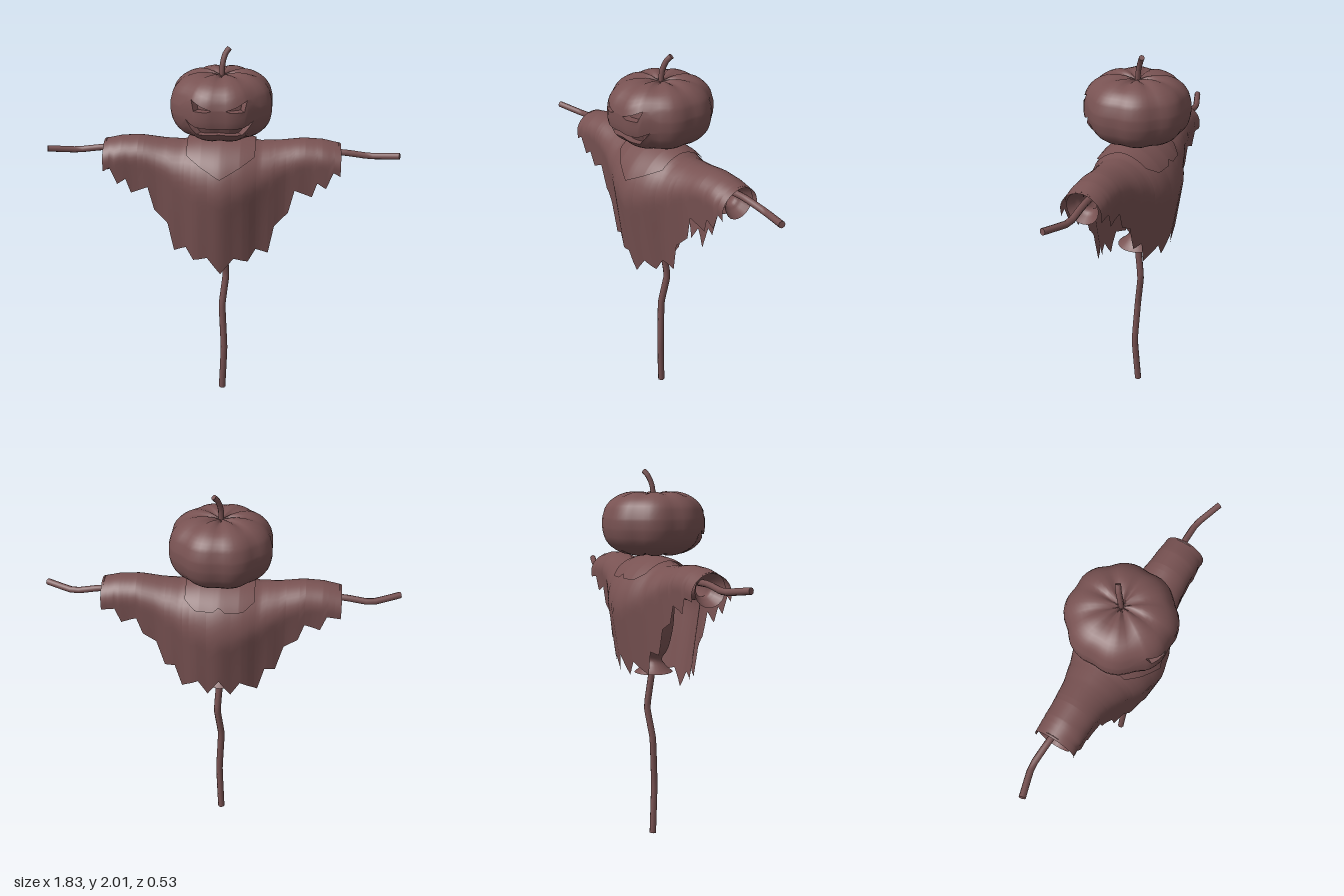
import * as THREE from 'three';

const material = new THREE.MeshStandardMaterial({ color: 0x785252, side: THREE.DoubleSide });
const gauss = (x, w) => Math.exp(-((x / w) ** 2));

function add(parent, name, geometry) {
  const mesh = new THREE.Mesh(geometry, material);
  mesh.name = name;
  parent.add(mesh);
  return mesh;
}

// Indexed surface over columns x rows; skip(i, j) leaves a cell open
function gridSurface(cols, rows, point, closed = false, skip = () => false) {
  const pos = [], index = [];
  for (let i = 0; i < cols; i++) for (let j = 0; j < rows; j++) pos.push(...point(i, j));
  for (let i = 0; i < (closed ? cols : cols - 1); i++) {
    const n = (i + 1) % cols;
    for (let j = 0; j < rows - 1; j++) {
      if (skip(i, j)) continue;
      const a = i * rows + j, b = n * rows + j;
      index.push(a, b, b + 1, a, b + 1, a + 1);
    }
  }
  const g = new THREE.BufferGeometry();
  g.setAttribute('position', new THREE.Float32BufferAttribute(pos, 3));
  g.setIndex(index);
  g.computeVertexNormals();
  return g;
}

// Straight interpolation through [x, y] pairs with rising x
function interp(pts, x) {
  if (x <= pts[0][0]) return pts[0][1];
  for (let k = 1; k < pts.length; k++) {
    const [x0, y0] = pts[k - 1], [x1, y1] = pts[k];
    if (x <= x1) return y0 + (y1 - y0) * (x - x0) / (x1 - x0);
  }
  return pts[pts.length - 1][1];
}

// Bent stick with closed ends
function stick(parent, name, points, radius) {
  const v = points.map(p => new THREE.Vector3(...p));
  const curve = new THREE.CatmullRomCurve3(v, false, 'catmullrom', 0.15);
  const group = new THREE.Group();
  group.name = name;
  add(group, name + 'Shaft', new THREE.TubeGeometry(curve, 40, radius, 8));
  for (const t of [0, 1]) {
    const cap = add(group, name + 'End', new THREE.CircleGeometry(radius, 8));
    cap.position.copy(curve.getPoint(t));
    cap.lookAt(cap.position.clone().addScaledVector(curve.getTangent(t), t ? 1 : -1));
  }
  parent.add(group);
}

// Draped cloth: s is the drop below the shoulder ridge
const ridge = [[0, 1.55], [0.1, 1.545], [0.2, 1.525], [0.3, 1.53], [0.42, 1.545], [0.52, 1.54], [0.61, 1.52]];
function drape(x, s, side, offset) {
  const ax = Math.abs(x);
  const depth = side > 0 ? 0.113 + 0.125 * gauss(x, 0.24) : 0.105 + 0.13 * gauss(x, 0.27);
  const curl = 0.1 + 0.17 * gauss(x, 0.25);
  const q = Math.min(1, s / curl);
  let z = depth * Math.pow(1 - (1 - q) ** 2, 0.55);
  if (s > curl) z *= 1 - 0.33 * Math.min(1, (s - curl) / 0.45);
  z += 0.003 * Math.cos(ax * 48) * Math.min(1, s / 0.4);
  return [x, interp(ridge, ax) - s + offset * (1 - q), side * (z + offset * q)];
}

function cloth(frontHem, backHem, offset) {
  const last = frontHem[frontHem.length - 1][0];
  const xs = new Set();
  for (const hem of [frontHem, backHem]) for (const [x] of hem) { xs.add(x); xs.add(-x); }
  for (let k = -20; k <= 20; k++) xs.add(+(last * k / 20).toFixed(4));
  const cols = [...xs].filter(x => Math.abs(x) <= last).sort((a, b) => a - b);
  const n = 16;
  return gridSurface(cols.length, 2 * n + 1, (i, j) => {
    const x = cols[i], ax = Math.abs(x), side = j <= n ? 1 : -1;
    const hem = interp(side > 0 ? frontHem : backHem, ax);
    const t = Math.abs(j - n) / n;
    return drape(x, (interp(ridge, ax) - hem) * t ** 1.7, side, offset);
  });
}

// Ribbed pumpkin whose rows follow the edges of the carved eyes and mouth
function pumpkin(parent) {
  const A = 0.264, B = 0.176, C = 1.726, N = 2.5;
  const eyeTop = [[0.035, 1.758], [0.09, 1.777], [0.14, 1.802]];
  const eyeLow = [[0.035, 1.758], [0.06, 1.75], [0.12, 1.75], [0.14, 1.802], [0.2, 1.76]];
  const mouthTop = [[0, 1.667], [0.09, 1.667], [0.12, 1.67], [0.17, 1.695]];
  const mouthLow = [[0, 1.632], [0.09, 1.627], [0.12, 1.627], [0.17, 1.695], [0.2, 1.66]];
  const half = [0.035, 0.06, 0.09, 0.12, 0.14, 0.17, 0.2, 0.225];
  const front = [...half.map(x => -x).reverse(), 0, ...half];
  const angles = front.map(x => Math.asin(x / 0.255));
  const edge = angles[angles.length - 1];
  for (let k = 1; k < 36; k++) angles.push(edge + (2 * Math.PI - 2 * edge) * k / 36);
  const angleOf = y => Math.sign(y - C) * Math.asin(Math.pow(Math.abs(y - C) / B, N / 2));
  const q = Math.PI / 2;

  // Knots in latitude, with evenly spread rows between them
  const steps = [10, 1, 4, 1, 10];
  const starts = steps.map((_, k) => steps.slice(0, k).reduce((s, v) => s + v, 0));
  const rowCount = 27, mouthRow = starts[1], eyeRow = starts[3];

  const point = (i, j, scale = 1) => {
    const th = angles[i], x = i < front.length ? Math.abs(front[i]) : 1;
    const knots = [-q, ...[mouthLow, mouthTop, eyeLow, eyeTop].map(c => angleOf(interp(c, x))), q];
    const k = Math.max(0, starts.findLastIndex(s => s <= Math.min(j, rowCount - 2)));
    const a = knots[k] + (knots[k + 1] - knots[k]) * (j - starts[k]) / steps[k];
    const notch = Math.abs(Math.cos(4 * th)) ** 4;
    const r = A * Math.pow(Math.max(0, Math.cos(a)), 2 / N);
    let y = C + Math.sign(a) * B * Math.pow(Math.abs(Math.sin(a)), 2 / N);
    const cap = Math.max(0, 1 - r / 0.17);
    y -= Math.sign(a) * (0.035 * cap * cap + 0.014 * notch * Math.max(0, Math.abs(Math.sin(a)) - 0.7) / 0.3);
    const R = r * (1 - 0.05 * notch) * scale;
    return [R * Math.sin(th), y, 1.03 * R * Math.cos(th)];
  };
  const carved = (i, j) => {
    if (i >= front.length - 1) return false;
    const x = Math.abs(front[i] + front[i + 1]) / 2;
    return (j === mouthRow && x < 0.17) || (j === eyeRow && x > 0.035 && x < 0.14);
  };
  add(parent, 'pumpkinHead', gridSurface(angles.length, rowCount, point, true, carved));

  // Recessed walls of the carving: lower lip, back, upper lip
  for (const [name, j] of [['mouthRecess', mouthRow], ['eyeRecess', eyeRow]]) {
    const rows = [[j, 1], [j, 0.84], [j + 1, 0.84], [j + 1, 1]];
    const g = gridSurface(front.length, 4, (i, k) => point(i, ...rows[k]), false, i => !carved(i, j)).toNonIndexed();
    g.computeVertexNormals();
    add(parent, name, g);
  }
}

export function createModel() {
  const model = new THREE.Group();
  model.name = 'scarecrow';

  // Wooden frame
  stick(model, 'pole', [[0, 0, -0.005], [0.012, 0.28, 0.01], [0, 0.55, -0.005], [0.02, 0.73, -0.03],
    [0.008, 0.92, -0.008], [0, 1.2, 0], [0, 1.6, 0]], 0.019);
  stick(model, 'crossbar', [[-0.91, 1.47, 0.03], [-0.76, 1.45, -0.02], [-0.6, 1.47, -0.015], [0, 1.46, 0],
    [0.6, 1.47, -0.015], [0.76, 1.45, -0.02], [0.91, 1.47, 0.03]], 0.017);

  // Head
  pumpkin(model);
  const stemCurve = new THREE.CatmullRomCurve3([[0, 1.85, 0], [0.002, 1.92, -0.008], [0.015, 1.97, -0.025], [0.034, 1.995, -0.04]]
    .map(p => new THREE.Vector3(...p)));
  stick(model, 'stem', stemCurve.getPoints(6).map(p => p.toArray()), 0.014);

  // Sack body, tied at the waist with a flared end
  const lathe = pts => new THREE.LatheGeometry(
    new THREE.SplineCurve(pts.map(p => new THREE.Vector2(...p))).getPoints(28), 20);
  const sack = add(model, 'sackBody', lathe([[0.105, 0.93], [0.075, 0.955], [0.045, 1.0], [0.08, 1.06],
    [0.108, 1.18], [0.115, 1.32], [0.11, 1.43], [0.05, 1.52]]));
  sack.scale.x = 0.95;

  // Inner sleeves, tied near the wrist with a flared cuff
  for (const side of [-1, 1]) {
    const sleeve = add(model, side > 0 ? 'leftSleeve' : 'rightSleeve',
      lathe([[0.08, 0.05], [0.075, 0.25], [0.07, 0.42], [0.04, 0.52], [0.06, 0.56], [0.085, 0.6]]));
    sleeve.rotation.z = -side * Math.PI / 2;
    sleeve.position.y = 1.44;
  }

  // Tattered cloak
  const frontHem = [[0, 0.83], [0.07, 0.925], [0.145, 0.9], [0.185, 0.97], [0.25, 0.94], [0.28, 1.1], [0.35, 1.17],
    [0.38, 1.3], [0.47, 1.26], [0.495, 1.34], [0.54, 1.31], [0.575, 1.4], [0.61, 1.38]];
  const backHem = [[0, 1.04], [0.06, 0.94], [0.11, 1.02], [0.2, 0.96], [0.235, 1.09], [0.29, 1.08],
    [0.33, 1.22], [0.4, 1.26], [0.43, 1.35], [0.51, 1.32], [0.54, 1.4], [0.61, 1.39]];
  add(model, 'cloak', cloth(frontHem, backHem, 0));

  // Pointed collar lying on the cloak
  add(model, 'collar', cloth([[0, 1.385], [0.1, 1.435], [0.175, 1.475]],
    [[0, 1.46], [0.03, 1.44], [0.12, 1.44], [0.175, 1.475]], 0.012));
  return model;
}
